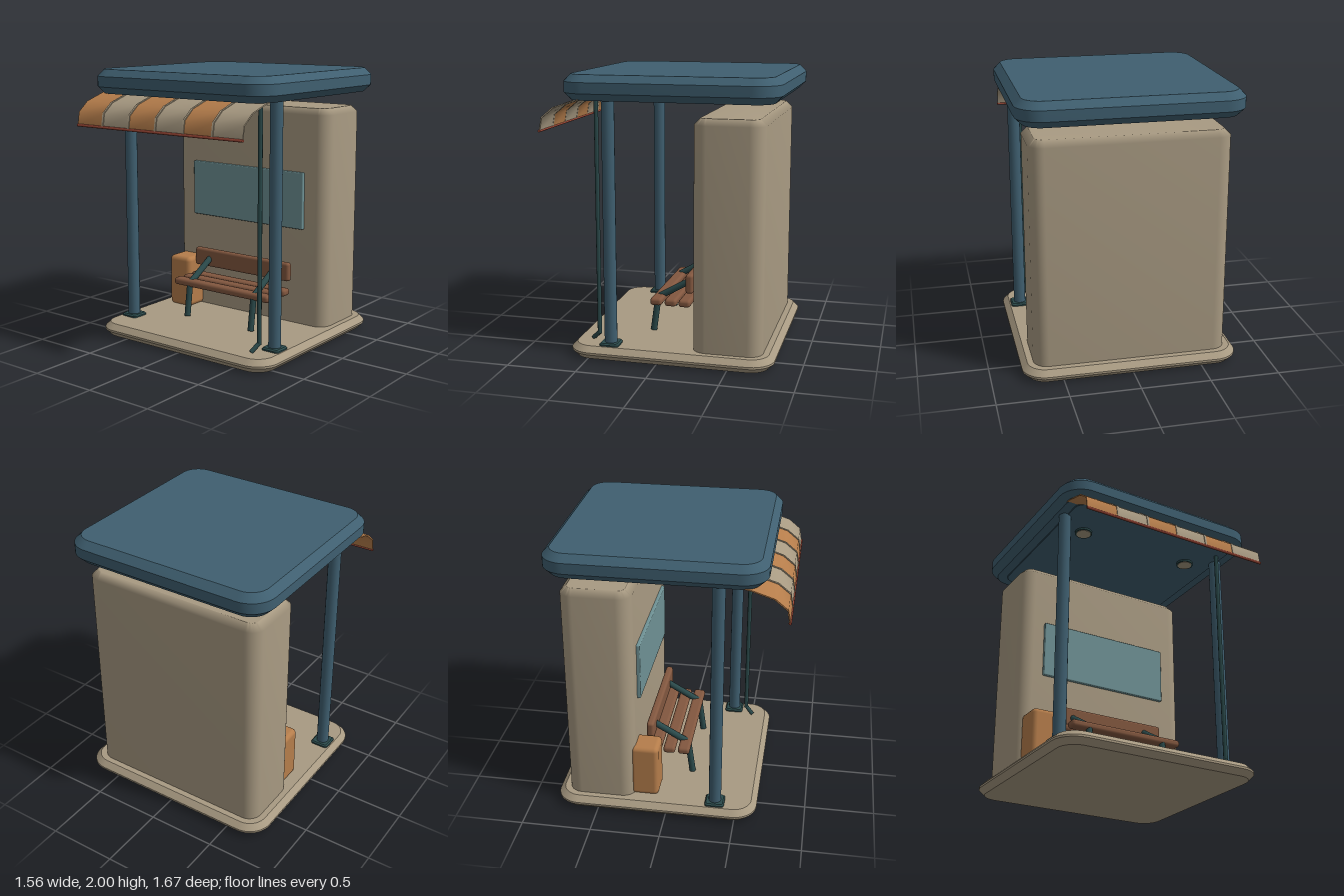
import * as THREE from 'three';
import { mergeVertices, toCreasedNormals } from 'three/addons/utils/BufferGeometryUtils.js';
import { RoundedBoxGeometry } from 'three/addons/geometries/RoundedBoxGeometry.js';

const mat = (name, color) => new THREE.MeshStandardMaterial({ name, color });

// Rounded rectangle in plan, extruded upwards with chamfered edges
function slab(x0, x1, y0, y1, z0, z1, r, bevel, crease) {
  const s = new THREE.Shape();
  const a = -z1, b = -z0;
  s.moveTo(x0 + r, a);
  s.lineTo(x1 - r, a);
  s.absarc(x1 - r, a + r, r, -Math.PI / 2, 0);
  s.lineTo(x1, b - r);
  s.absarc(x1 - r, b - r, r, 0, Math.PI / 2);
  s.lineTo(x0 + r, b);
  s.absarc(x0 + r, b - r, r, Math.PI / 2, Math.PI);
  s.lineTo(x0, a + r);
  s.absarc(x0 + r, a + r, r, Math.PI, Math.PI * 1.5);
  const geo = new THREE.ExtrudeGeometry(s, {
    depth: y1 - y0 - 2 * bevel, curveSegments: 5,
    bevelEnabled: true, bevelThickness: bevel, bevelSize: bevel, bevelOffset: -bevel, bevelSegments: 1,
  });
  geo.rotateX(-Math.PI / 2).translate(0, y0 + bevel, 0);
  if (crease) return toCreasedNormals(geo, crease);
  geo.deleteAttribute('normal');
  geo.deleteAttribute('uv');
  const welded = mergeVertices(geo, 1e-4);
  welded.computeVertexNormals();
  return welded;
}

export function createModel() {
  const m = {
    roof: mat('slate blue', 0x3f5f70),
    stone: mat('warm stone', 0xa89a82),
    orange: mat('canvas orange', 0xb57d4b),
    wood: mat('bench wood', 0x82573f),
    iron: mat('dark green iron', 0x2b4a4b),
    glass: mat('board glass', 0x6f9295),
    red: mat('rail red', 0x9c4837),
  };
  const model = new THREE.Group();
  model.name = 'shelter';
  const add = (name, geo, material, parent = model) => {
    const mesh = new THREE.Mesh(geo, material);
    mesh.name = name;
    parent.add(mesh);
    return mesh;
  };
  const group = (name) => {
    const g = new THREE.Group();
    g.name = name;
    model.add(g);
    return g;
  };
  // Rounded box given by its limits
  const block = (x0, x1, y0, y1, z0, z1, r) =>
    new RoundedBoxGeometry(x1 - x0, y1 - y0, z1 - z0, 2, r)
      .translate((x0 + x1) / 2, (y0 + y1) / 2, (z0 + z1) / 2);
  // Straight round bar between two points
  const bar = (a, b, r, sides = 10) => {
    const A = new THREE.Vector3(...a), B = new THREE.Vector3(...b);
    const d = B.clone().sub(A);
    const geo = new THREE.CylinderGeometry(r, r, d.length(), sides);
    geo.applyQuaternion(new THREE.Quaternion().setFromUnitVectors(new THREE.Vector3(0, 1, 0), d.normalize()));
    return geo.translate(...A.add(B).multiplyScalar(0.5).toArray());
  };

  // Floor, wall, roof and ceiling
  add('floor', slab(-0.778, 0.778, 0, 0.095, -0.813, 0.652, 0.17, 0.04, 0.7), m.stone);
  add('backWall', slab(-0.695, 0.695, 0.03, 1.72, -0.73, -0.235, 0.1, 0.045), m.stone);
  add('roof', slab(-0.78, 0.78, 1.825, 2, -0.832, 0.675, 0.18, 0.05, 0.7), m.roof);
  add('ceilingPanel', slab(-0.66, 0.66, 1.817, 1.83, -0.71, 0.58, 0.08, 0.003, 0.7), m.roof);
  add('wallBoard', block(-0.515, 0.51, 0.825, 1.25, -0.245, -0.21, 0.008), m.glass);

  // Ceiling lamps
  for (const x of [-0.45, 0.45]) {
    add('lampRim', new THREE.CylinderGeometry(0.065, 0.065, 0.02, 16).translate(x, 1.813, 0.245), m.iron);
    add('lampLens', new THREE.CylinderGeometry(0.054, 0.054, 0.006, 16).translate(x, 1.802, 0.245), m.stone);
  }

  // Front posts with foot plates
  for (const x of [-0.66, 0.66]) {
    add('post', bar([x, 0.08, 0.352], [x, 1.84, 0.352], 0.045, 16), m.roof);
    add('postFoot', slab(x - 0.07, x + 0.07, 0.085, 0.115, 0.282, 0.422, 0.025, 0.01, 0.7), m.iron);
  }

  // Drainpipe with a kicked-out spout
  const pipe = group('drainpipe');
  add('downpipe', bar([0.602, 0.145, 0.455], [0.602, 1.84, 0.455], 0.016, 8), m.iron, pipe);
  add('spout', bar([0.602, 0.155, 0.455], [0.572, 0.1, 0.512], 0.016, 8), m.iron, pipe);

  // Striped awning: a thin curved section, one strip per panel
  const awning = group('awning');
  const curve = [[0.5, 1.84], [0.57, 1.826], [0.725, 1.775], [0.81, 1.705], [0.826, 1.61]];
  const strip = (x0, x1, lift, thick) => {
    const top = curve.map(([z, y]) => [z + lift * 0.6, y + lift * 0.6]);
    const under = curve.map(([z, y]) => [z - thick * 0.7, y - thick * 0.7]).reverse();
    const shape = new THREE.Shape([...top, ...under].map(([z, y]) => new THREE.Vector2(-z, y)));
    const geo = new THREE.ExtrudeGeometry(shape, { depth: x1 - x0, bevelEnabled: false });
    return toCreasedNormals(geo.rotateY(Math.PI / 2).translate(x0, 0, 0), 0.8);
  };
  const panel = 0.2435;
  for (let i = 0; i < 6; i++) {
    const x = -0.733 + i * panel;
    add('awningPanel', strip(x, x + panel, 0, 0.01), i % 2 ? m.stone : m.orange, awning);
    if (i) add('awningRib', strip(x - 0.008, x + 0.008, 0.007, 0.012), m.stone, awning);
  }
  add('awningRail', bar([-0.735, 1.61, 0.824], [0.73, 1.61, 0.824], 0.01, 8), m.red, awning);

  // Bench: three seat slats, a backrest and two bent iron supports
  const bench = group('bench');
  for (const z of [0.086, -0.022, -0.125]) {
    add('seatSlat', block(-0.445, 0.44, 0.327, 0.381, z - 0.044, z + 0.044, 0.022), m.wood, bench);
  }
  add('backrest', block(-0.445, 0.44, 0.432, 0.573, -0.188, -0.134, 0.02), m.wood, bench);
  for (const x of [-0.304, 0.298]) {
    add('benchLeg', bar([x, 0.1, 0.137], [x, 0.35, 0.103], 0.024), m.iron, bench);
    add('benchArm', bar([x, 0.355, 0.1], [x, 0.5, -0.15], 0.024), m.iron, bench);
  }

  // Litter bin beside the bench
  add('litterBin', block(-0.655, -0.45, 0.09, 0.493, -0.27, -0.065, 0.035), m.orange);

  return model;
}
